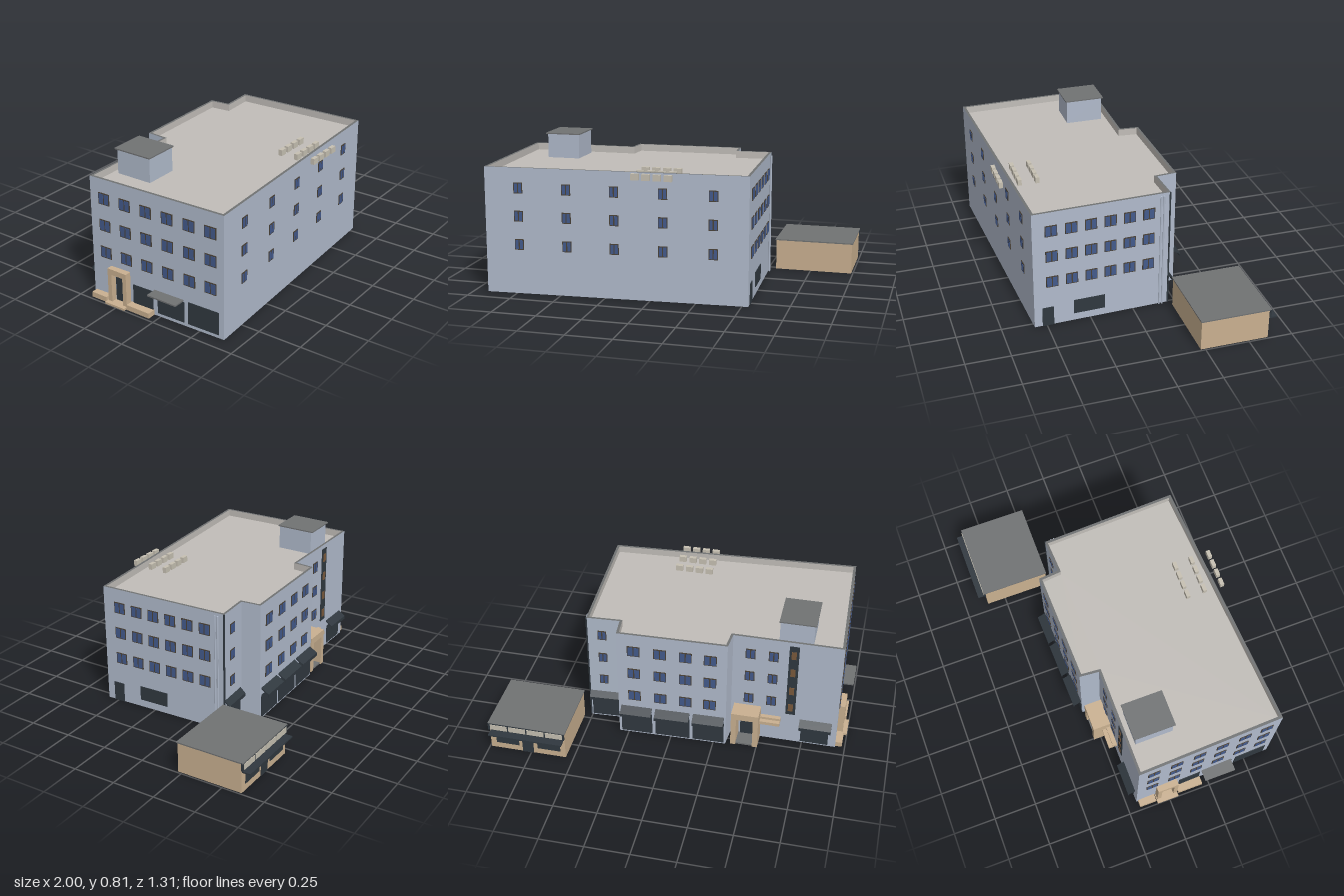
import * as THREE from 'three';

const mat = (name, color, side = THREE.FrontSide) => {
  const m = new THREE.MeshStandardMaterial({ color, side });
  m.name = name;
  return m;
};
const M = {
  wall: mat('blue grey wall', 0xb0bacb, THREE.DoubleSide),
  roof: mat('roof gravel', 0xc1bdb8, THREE.DoubleSide),
  cap: mat('grey slab', 0x707273, THREE.DoubleSide),
  tan: mat('tan render', 0xc9b090, THREE.DoubleSide),
  glass: mat('blue glass', 0x435a8c),
  frame: mat('window frame', 0x4a4238),
  dark: mat('dark shopfront', 0x30383f),
  cream: mat('cream metal', 0xc6c0b2),
  brown: mat('brown infill', 0x7a5a3c),
};

const H = 0.705, ROOF = 0.665;
// Footprint corners [x, z], anticlockwise seen from above
const PLAN = [[-0.92, 0.65], [0.535, 0.57], [0.507, -0.21], [0.315, -0.2],
  [0.305, -0.315], [-0.32, -0.3], [-0.33, -0.19], [-0.945, -0.19]];
const INNER = [[-0.905, 0.635], [0.52, 0.556], [0.493, -0.196], [0.302, -0.186],
  [0.292, -0.301], [-0.308, -0.286], [-0.317, -0.176], [-0.93, -0.176]];

function add(parent, name, geo, material, x = 0, y = 0, z = 0) {
  const m = new THREE.Mesh(geo, material);
  m.name = name;
  m.position.set(x, y, z);
  parent.add(m);
  return m;
}
// Box given by its minimum and maximum corners
function box(parent, name, material, x0, x1, y0, y1, z0, z1) {
  return add(parent, name, new THREE.BoxGeometry(x1 - x0, y1 - y0, z1 - z0), material,
    (x0 + x1) / 2, (y0 + y1) / 2, (z0 + z1) / 2);
}
// Group lying on a wall: local x runs along it, local z points outward
function wallGroup(parent, i, name) {
  const a = PLAN[i], b = PLAN[(i + 1) % PLAN.length];
  const dx = b[0] - a[0], dz = b[1] - a[1], len = Math.hypot(dx, dz);
  const g = new THREE.Group();
  g.name = name;
  g.position.set(a[0], 0, a[1]);
  g.rotation.y = Math.atan2(-dz, dx);
  parent.add(g);
  const k = Math.abs(dx) > Math.abs(dz) ? 0 : 1;
  return { g, len, at: c => len * (c - a[k]) / (b[k] - a[k]) };
}
function sheet(parent, name, pts, y0, y1, material) {
  const g = new THREE.Group();
  g.name = name;
  pts.forEach((a, i) => {
    const b = pts[(i + 1) % pts.length], dx = b[0] - a[0], dz = b[1] - a[1];
    const p = add(g, name + 'Panel', new THREE.PlaneGeometry(Math.hypot(dx, dz), y1 - y0), material,
      (a[0] + b[0]) / 2, (y0 + y1) / 2, (a[1] + b[1]) / 2);
    p.rotation.y = Math.atan2(-dz, dx);
  });
  parent.add(g);
}
function flat(parent, name, pts, y, material, hole) {
  const path = p => p.map(([x, z]) => new THREE.Vector2(x, -z));
  const s = new THREE.Shape(path(pts));
  if (hole) s.holes.push(new THREE.Path(path(hole)));
  add(parent, name, new THREE.ShapeGeometry(s).rotateX(-Math.PI / 2), material, 0, y, 0);
}
// Two-pane window standing through the wall so that it shows on both sides
function win(parent, x, y, w, h) {
  const g = new THREE.Group();
  g.name = 'window';
  g.position.set(x, y, 0);
  add(g, 'windowFrame', new THREE.BoxGeometry(w, h, 0.008), M.frame);
  for (const s of [-1, 1]) {
    add(g, 'windowPane', new THREE.BoxGeometry(w / 2 - 0.008, h - 0.01, 0.011), M.glass, s * (w / 4 - 0.0005), 0, 0);
  }
  parent.add(g);
}
function windowGrid(w, cols, width, height) {
  for (const c of cols) for (const y of [0.278, 0.437, 0.593]) win(w.g, w.at(c), y, width, height);
}
function panel(w, name, c0, c1, y0, y1, material = M.dark) {
  const a = w.at(c0), b = w.at(c1);
  box(w.g, name, material, Math.min(a, b), Math.max(a, b), y0, y1, -0.004, 0.004);
}
// Sloped shop awning with a short hanging front edge
function awning(w, c0, c1, top, depth) {
  const a = w.at(c0), b = w.at(c1), s = new THREE.Shape();
  [[0, top], [depth, top - 0.03], [depth, top - 0.05], [depth - 0.005, top - 0.05],
    [depth - 0.005, top - 0.035], [0, top - 0.008]].forEach(([z, y], i) => i ? s.lineTo(-z, y) : s.moveTo(-z, y));
  const geo = new THREE.ExtrudeGeometry(s, { depth: Math.abs(b - a), bevelEnabled: false }).rotateY(Math.PI / 2);
  add(w.g, 'awning', geo, M.dark, Math.min(a, b));
}

function buildShell(root) {
  sheet(root, 'outerWalls', PLAN, 0, H, M.wall);
  sheet(root, 'parapetInside', INNER, ROOF, H, M.roof);
  flat(root, 'parapetRim', PLAN, H, M.cap, INNER);
  flat(root, 'roofDeck', INNER, ROOF, M.roof);
  // Stair housing on the roof
  box(root, 'roofHousing', M.wall, -0.77, -0.58, ROOF, 0.804, -0.145, 0.07);
  box(root, 'roofHousingCap', M.cap, -0.78, -0.575, 0.804, 0.811, -0.157, 0.078);
  // Rows of small roof units
  for (const z of [0.435, 0.535, 0.64])
    for (let i = 0; i < 4; i++) {
      const x = -0.068 + i * 0.0605;
      box(root, 'roofUnit', M.cream, x - 0.021, x + 0.021, 0.67, 0.704, z - 0.011, z + 0.011);
    }
}

function buildFrontAndRight(root) {
  windowGrid(wallGroup(root, 0, 'frontWallDetails'), [-0.73, -0.46, -0.195, 0.072, 0.345], 0.05, 0.06);

  const r = wallGroup(root, 1, 'sideWallDetails');
  windowGrid(r, [0.465, 0.353, 0.243, 0.133, 0.023, -0.087], 0.068, 0.066);
  panel(r, 'sideDoor', 0.525, 0.46, 0, 0.115);
  panel(r, 'sideShopWindow', 0.345, 0.165, 0.045, 0.13);
  for (const z of [-0.155, -0.172]) {
    add(r.g, 'downpipe', new THREE.CylinderGeometry(0.005, 0.005, 0.69, 8), M.wall, r.at(z), 0.345, 0.006);
  }
  box(r.g, 'cornerPipe', M.dark, r.len - 0.006, r.len + 0.002, 0, H, -0.004, 0.004);
}

function buildBack(root) {
  const a = wallGroup(root, 2, 'backShortBayDetails');
  windowGrid(a, [0.42], 0.05, 0.06);
  panel(a, 'shopfront', 0.335, 0.495, 0.01, 0.145);
  awning(a, 0.325, 0.505, 0.185, 0.03);

  const m = wallGroup(root, 4, 'backMiddleDetails');
  windowGrid(m, [0.21, 0.06, -0.085, -0.225], 0.072, 0.066);
  for (const [c0, c1] of [[-0.31, -0.13], [-0.11, 0.09], [0.11, 0.29]]) {
    panel(m, 'shopfront', c0, c1, 0.01, 0.15);
    awning(m, c0, c1, 0.195, 0.048);
  }

  const e = wallGroup(root, 6, 'backEntranceDetails');
  windowGrid(e, [-0.43, -0.56], 0.055, 0.064);
  panel(e, 'shopfront', -0.9, -0.74, 0.01, 0.13);
  awning(e, -0.915, -0.73, 0.17, 0.042);
  // Tall stair window with brown infill between the floors
  panel(e, 'stairWindow', -0.7, -0.645, 0.2, 0.68);
  for (const y of [0.25, 0.37, 0.5, 0.62]) {
    const x = e.at(-0.672);
    box(e.g, 'stairInfill', M.brown, x - 0.014, x + 0.014, y - 0.025, y + 0.025, -0.006, 0.007);
  }
  // Entrance portal, door and side shelf
  box(root, 'portalPost', M.tan, -0.505, -0.475, 0, 0.2, -0.292, -0.19);
  box(root, 'portalPost', M.tan, -0.378, -0.348, 0, 0.2, -0.292, -0.19);
  box(root, 'portalLintel', M.tan, -0.505, -0.348, 0.185, 0.225, -0.292, -0.19);
  box(root, 'portalStep', M.cap, -0.475, -0.378, 0, 0.01, -0.285, -0.19);
  panel(e, 'entranceDoor', -0.465, -0.388, 0.01, 0.17);
  box(root, 'sideShelf', M.tan, -0.62, -0.505, 0.135, 0.155, -0.24, -0.19);
  box(root, 'sideShelfTop', M.tan, -0.62, -0.505, 0.155, 0.17, -0.215, -0.19);
}

function buildLeftSide(root) {
  const s = wallGroup(root, 7, 'entranceSideDetails');
  windowGrid(s, [-0.1, 0.035, 0.17, 0.305, 0.44, 0.57], 0.07, 0.066);
  panel(s, 'shopfront', 0.43, 0.62, 0.02, 0.15);
  panel(s, 'shopfront', 0.235, 0.405, 0.02, 0.14);
  panel(s, 'shopfront', 0.075, 0.205, 0.03, 0.14);
  panel(s, 'sideEntranceDoor', -0.04, 0.03, 0.01, 0.17);
  // Portal with low ramps either side
  box(root, 'sidePortalPost', M.tan, -0.975, -0.935, 0, 0.18, -0.07, -0.045);
  box(root, 'sidePortalPost', M.tan, -0.975, -0.935, 0, 0.18, 0.03, 0.055);
  box(root, 'sidePortalLintel', M.tan, -0.975, -0.935, 0.175, 0.207, -0.07, 0.055);
  box(root, 'sidePortalStep', M.tan, -1, -0.935, 0, 0.012, -0.075, 0.055);
  box(root, 'lowRamp', M.tan, -0.983, -0.94, 0, 0.03, -0.18, -0.08);
  box(root, 'lowRamp', M.tan, -0.983, -0.93, 0, 0.03, 0.06, 0.21);
  box(root, 'sideCanopy', M.cap, -0.998, -0.925, 0.145, 0.153, 0.215, 0.4);
}

function buildKiosk(root) {
  const g = new THREE.Group();
  g.name = 'kiosk';
  root.add(g);
  sheet(g, 'kioskWall', [[0.545, -0.225], [0.99, -0.225], [0.99, -0.612], [0.545, -0.612]], 0, 0.175, M.tan);
  box(g, 'kioskRoof', M.cap, 0.54, 0.996, 0.175, 0.182, -0.622, -0.22);
  // Fascia with light panels above a thin canopy
  box(g, 'kioskFascia', M.dark, 0.545, 0.996, 0.133, 0.18, -0.622, -0.612);
  for (let i = 0; i < 4; i++) {
    const x = 0.555 + i * 0.109;
    box(g, 'fasciaPanel', M.cream, x, x + 0.1, 0.139, 0.173, -0.625, -0.62);
  }
  box(g, 'kioskCanopy', M.dark, 0.553, 0.985, 0.118, 0.126, -0.66, -0.61);
  // Door and shop windows
  box(g, 'kioskDoor', M.dark, 0.735, 0.8, 0, 0.112, -0.616, -0.608);
  for (const x of [0.575, 0.82]) {
    box(g, 'kioskWindow', M.dark, x, x + 0.135, 0.04, 0.112, -0.616, -0.608);
  }
}

export function createModel() {
  const root = new THREE.Group();
  root.name = 'officeBuilding';
  buildShell(root);
  buildFrontAndRight(root);
  buildBack(root);
  buildLeftSide(root);
  buildKiosk(root);
  return root;
}
